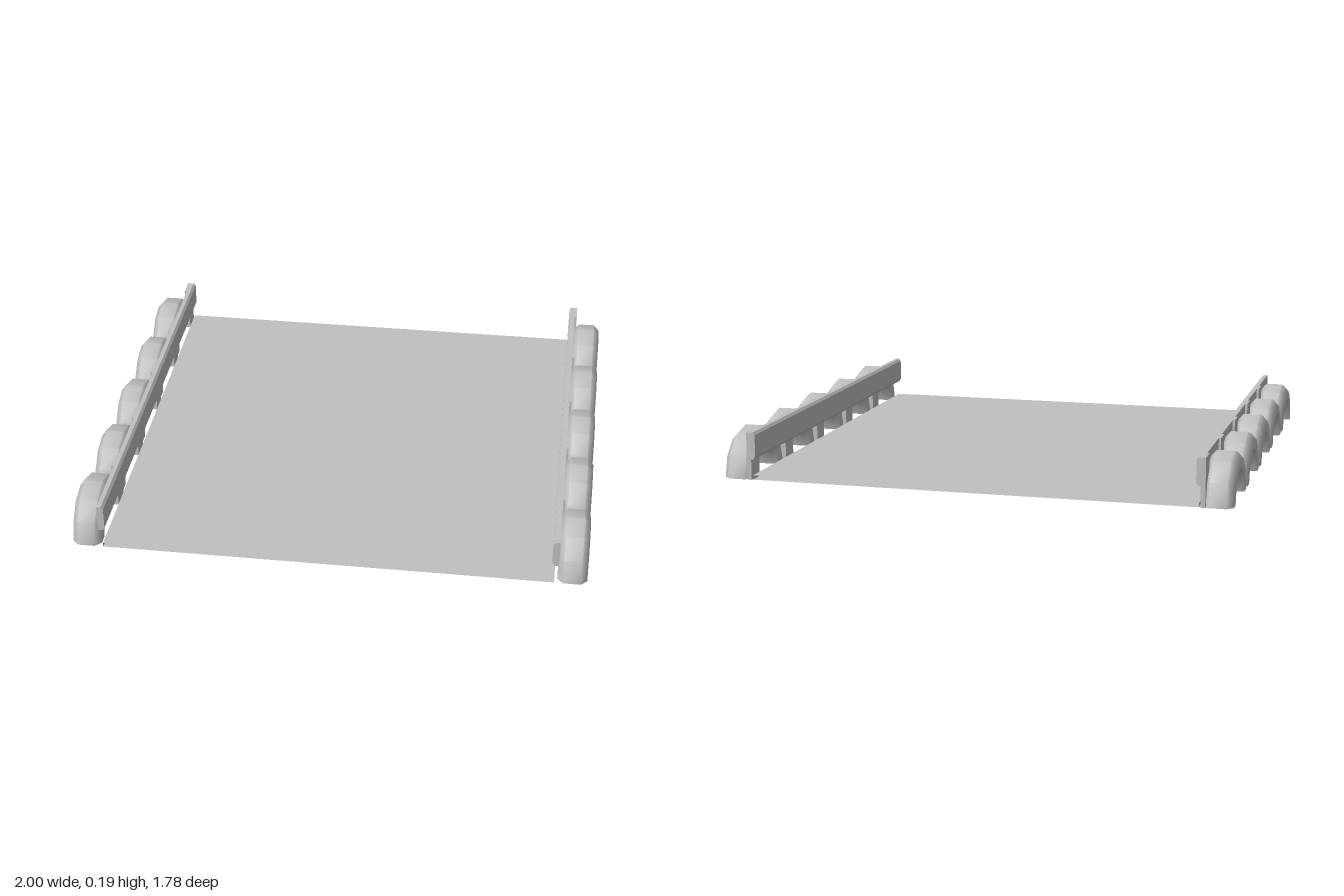
import * as THREE from 'three';
import { toCreasedNormals } from 'three/addons/utils/BufferGeometryUtils.js';

const PITCH = 0.355, HALF_LENGTH = 0.89;

export function createModel() {
  const model = new THREE.Group();
  const grey = new THREE.MeshStandardMaterial({ color: 0xc0c0c0, side: THREE.DoubleSide });
  grey.name = 'light grey';

  const add = (parent, name, geometry, x = 0, y = 0, z = 0) => {
    const mesh = new THREE.Mesh(geometry, grey);
    mesh.name = name;
    mesh.position.set(x, y, z);
    parent.add(mesh);
    return mesh;
  };

  // Floor: a thin sleeve, open at the front and back
  const floor = new THREE.Group();
  floor.name = 'floor';
  model.add(floor);
  const sheet = new THREE.PlaneGeometry(1.75, HALF_LENGTH * 2);
  add(floor, 'floorTop', sheet, 0, 0.018, 0).rotation.x = -Math.PI / 2;
  add(floor, 'floorBottom', sheet, 0, 0.001, 0).rotation.x = Math.PI / 2;
  const edge = new THREE.PlaneGeometry(HALF_LENGTH * 2, 0.017);
  for (const s of [1, -1]) {
    add(floor, 'floorSide', edge, s * 0.875, 0.0095, 0).rotation.y = s * Math.PI / 2;
  }

  // Half tyre: chamfered section swept over six steps of a half circle
  const section = [
    [0.105, -0.035], [0.115, -0.057], [0.155, -0.057], [0.18, -0.034],
    [0.18, 0.034], [0.155, 0.057], [0.115, 0.057], [0.105, 0.035], [0.105, -0.035],
  ].map(([r, w]) => new THREE.Vector2(r, w));
  const tyre = toCreasedNormals(
    new THREE.LatheGeometry(section, 6, -Math.PI / 2, Math.PI).rotateX(-Math.PI / 2).rotateY(Math.PI / 2),
    0.85);

  // Rail: chamfered strip running the full length
  const railShape = new THREE.Shape([
    [0.863, 0.092], [0.872, 0.08], [0.889, 0.08], [0.889, 0.188], [0.872, 0.188], [0.863, 0.178],
  ].map(([x, y]) => new THREE.Vector2(x, y)));
  const rail = new THREE.ExtrudeGeometry(railShape, { depth: HALF_LENGTH * 2, bevelEnabled: false });
  rail.translate(0, 0, -HALF_LENGTH);
  const post = new THREE.BoxGeometry(0.018, 0.188, 0.08);

  for (const s of [1, -1]) {
    const side = new THREE.Group();
    side.name = s > 0 ? 'leftBarrier' : 'rightBarrier';
    model.add(side);
    add(side, 'rail', rail).scale.x = s;
    for (let i = -2; i <= 2; i++) {
      add(side, 'halfTyre', tyre, s * 0.943, 0, i * PITCH);
      add(side, 'post', post, s * 0.889, 0.094, i * PITCH - 0.14);
    }
  }
  return model;
}
